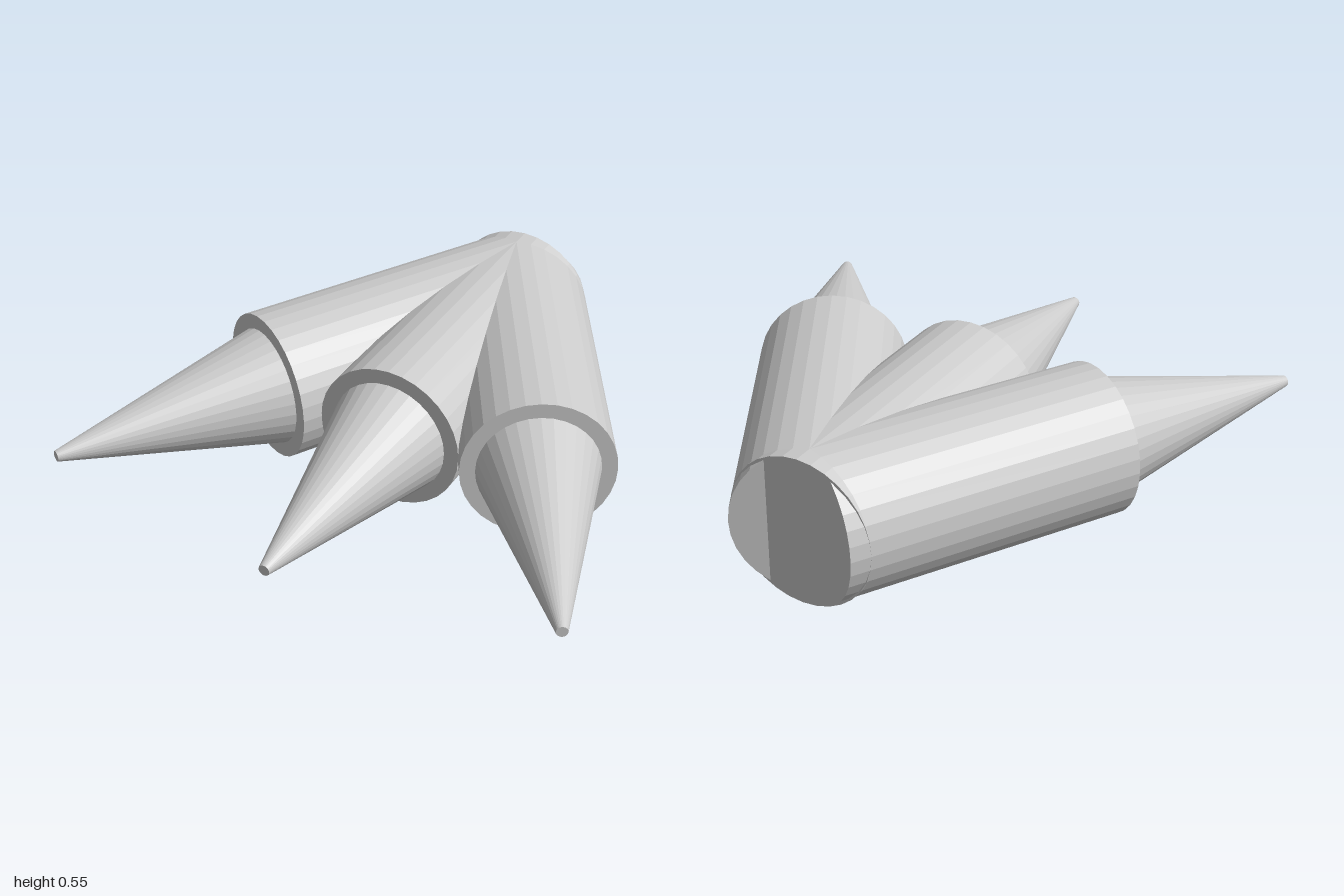
import * as THREE from 'three';

const R = 0.276, TUBE = 1.1, CONE = 0.835, SIDES = 32;
const material = new THREE.MeshStandardMaterial({ color: 0xcccccc, flatShading: true });

// One tube with a tapered tip, running along +z from its back end
function makeProng(name) {
  const prong = new THREE.Group();
  prong.name = name;

  const tubeGeo = new THREE.CylinderGeometry(R, R, TUBE, SIDES);
  tubeGeo.rotateX(Math.PI / 2).translate(0, 0, TUBE / 2);
  const tube = new THREE.Mesh(tubeGeo, material);
  tube.name = 'tube';

  const tipGeo = new THREE.CylinderGeometry(0.02, 0.22, CONE, SIDES);
  tipGeo.rotateX(Math.PI / 2).translate(0, 0, TUBE + CONE / 2);
  const tip = new THREE.Mesh(tipGeo, material);
  tip.name = 'taperedTip';

  prong.add(tube, tip);
  return prong;
}

export function createModel() {
  const model = new THREE.Group();
  model.name = 'threeProngCluster';

  // Straight middle prong, and two splayed 30 degrees to the sides
  const prongs = [
    ['middleProng', 0, -0.936],
    ['leftProng', Math.PI / 6, -0.862],
    ['rightProng', -Math.PI / 6, -0.862],
  ];
  for (const [name, angle, z] of prongs) {
    const prong = makeProng(name);
    prong.position.set(0, R, z);
    prong.rotation.y = angle;
    model.add(prong);
  }
  return model;
}
